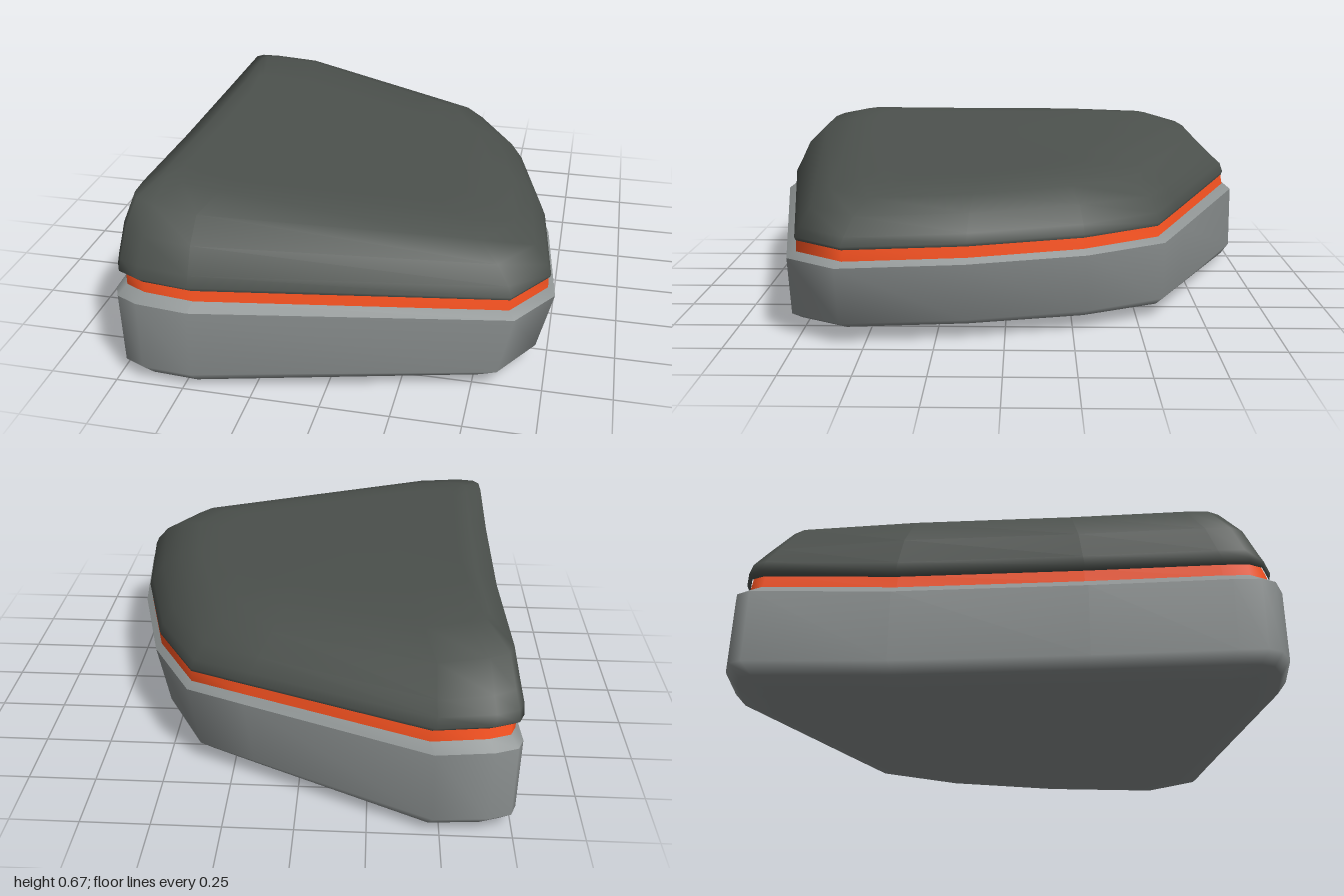
import * as THREE from 'three';

// Plan outline (x, z), clockwise seen from above
const outline = [
  [-0.77, -0.9], [-0.75, -0.95], [-0.67, -0.98], [-0.47, -1], [0.2, -0.7], [0.42, -0.6],
  [0.59, -0.3], [0.71, 0.14], [0.765, 0.59], [0.64, 0.78], [-0.46, 1], [-0.65, 0.985],
  [-0.73, 0.95], [-0.755, 0.9], [-0.758, 0.8], [-0.745, 0.3], [-0.74, -0.4],
];

// Fits the outline into a ring: x left/right, z back/front, y at left/right, drop toward the back
function makeRing([xl, xr, zb, zf, yl, yr, drop = 0]) {
  return outline.map(([x, z]) => {
    const u = (x + 0.77) / 1.535;
    const pz = z < 0 ? -z * zb : z * zf;
    const py = yl + (yr - yl) * u - drop * Math.max(0, -0.38 - pz);
    return [xl + (xr - xl) * u, py, pz];
  });
}

// Lofts rings from bottom to top, with optional end caps
function loft(name, color, specs, { bottom = false, top = false } = {}) {
  const rings = specs.map(makeRing);
  const n = outline.length;
  const points = rings.flat();
  const index = [];
  for (let r = 0; r < rings.length - 1; r++) {
    for (let i = 0; i < n; i++) {
      const j = (i + 1) % n;
      const a = r * n + i, a2 = r * n + j, b = a + n, b2 = a2 + n;
      index.push(a, b, b2, a, b2, a2);
    }
  }
  const cap = (r, up) => {
    const c = points.length;
    points.push([0, 1, 2].map((k) => rings[r].reduce((s, p) => s + p[k], 0) / n));
    for (let i = 0; i < n; i++) {
      const a = r * n + i, b = r * n + ((i + 1) % n);
      index.push(c, ...(up ? [b, a] : [a, b]));
    }
  };
  if (bottom) cap(0, false);
  if (top) cap(rings.length - 1, true);

  const geometry = new THREE.BufferGeometry();
  geometry.setAttribute('position', new THREE.Float32BufferAttribute(points.flat(), 3));
  geometry.setIndex(index);
  geometry.computeVertexNormals();
  const mesh = new THREE.Mesh(geometry, new THREE.MeshStandardMaterial({ color }));
  mesh.name = name;
  return mesh;
}

export function createModel() {
  const group = new THREE.Group();
  group.name = 'wedgeCase';
  const grey = 0x8f9494, dark = 0x4c514d, orange = 0xff5522;

  // Lower shell with a rounded underside
  const shoulder = [-0.77, 0.765, -0.995, 1, 0.33, 0.3];
  group.add(loft('lowerShell', grey, [
    [-0.64, 0.56, -0.86, 0.87, 0, 0.03],
    [-0.73, 0.64, -0.965, 0.97, 0.02, 0.045],
    [-0.765, 0.71, -1, 1, 0.06, 0.08],
    shoulder,
  ], { bottom: true }));

  // Chamfered lip around the top of the lower shell
  group.add(loft('lowerRim', grey, [shoulder, [-0.745, 0.735, -0.955, 0.96, 0.36, 0.32]]));

  // Coloured seam between the shells
  group.add(loft('seamBand', orange, [
    [-0.745, 0.738, -0.955, 0.962, 0.355, 0.315],
    [-0.745, 0.735, -0.945, 0.955, 0.41, 0.37],
  ]));

  // Domed sloping lid
  group.add(loft('lid', dark, [
    [-0.75, 0.74, -0.95, 0.96, 0.4, 0.36],
    [-0.77, 0.745, -0.958, 0.965, 0.412, 0.372],
    [-0.768, 0.73, -0.945, 0.945, 0.45, 0.405],
    [-0.755, 0.68, -0.9, 0.9, 0.55, 0.465, 0.1],
    [-0.735, 0.6, -0.81, 0.82, 0.635, 0.515, 0.1],
    [-0.66, 0.51, -0.65, 0.69, 0.667, 0.545, 0.08],
    [-0.6, 0.4, -0.38, 0.6, 0.661, 0.556],
  ], { top: true }));

  return group;
}
